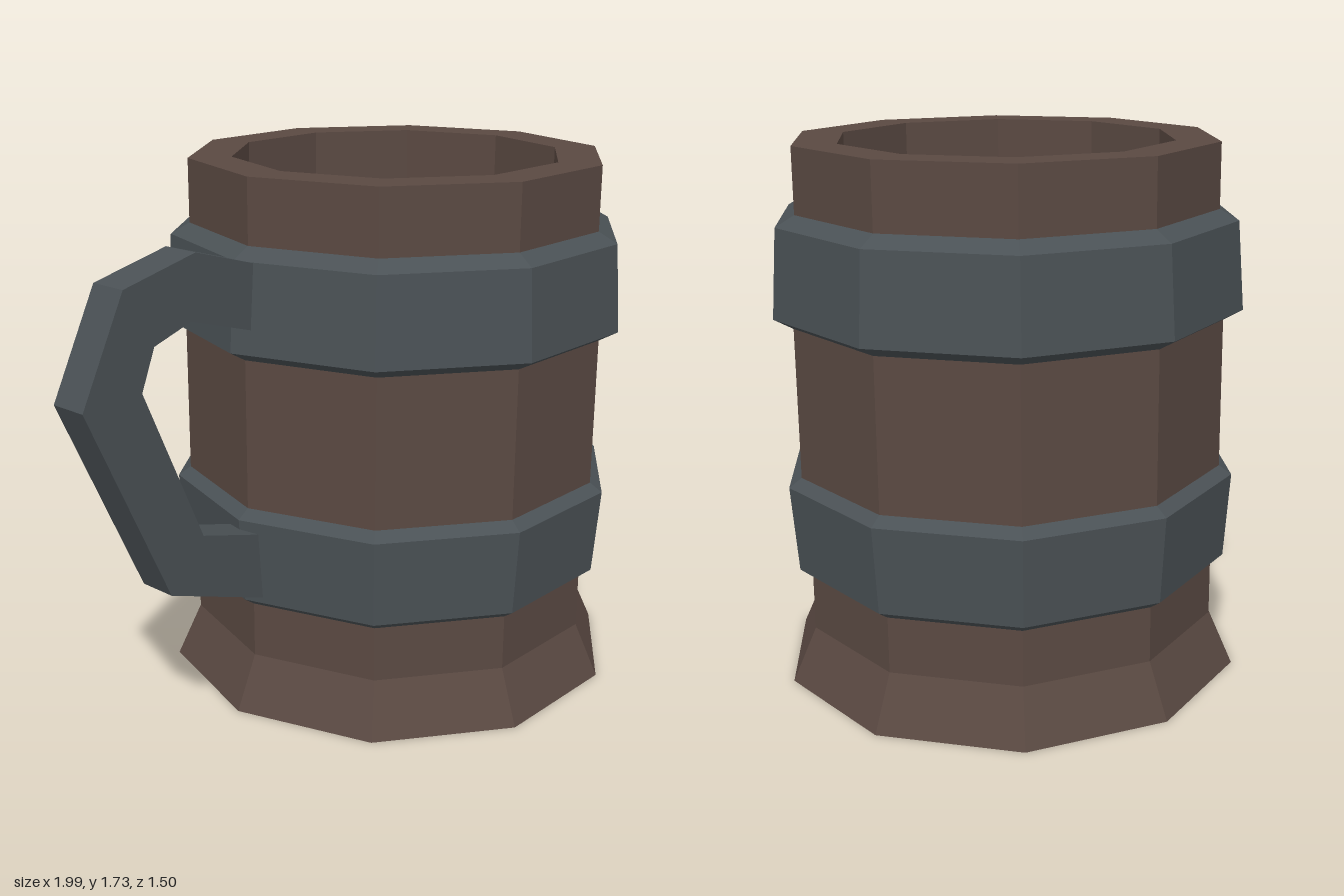
import * as THREE from 'three';

const SIDES = 10;
const CENTRE_X = 0.245;
const TURN = THREE.MathUtils.degToRad(7.7); // twist of the ten-sided body
const HANDLE_ANGLE = TURN + (4 * Math.PI * 2) / SIDES; // handle sits on a corner

const wood = new THREE.MeshStandardMaterial({ name: 'dark wood', color: 0x5a4942, flatShading: true });
const iron = new THREE.MeshStandardMaterial({ name: 'dark iron', color: 0x4a5155, flatShading: true });

// Faceted ring or solid from [radius, height] pairs, listed from the bottom up
function turned(name, profile, material) {
  const points = profile.map(([r, y]) => new THREE.Vector2(r, y));
  const geometry = new THREE.LatheGeometry(points, SIDES, Math.PI / 2 - TURN);
  const mesh = new THREE.Mesh(geometry, material);
  mesh.name = name;
  return mesh;
}

export function createModel() {
  const mug = new THREE.Group();
  mug.name = 'tankard';

  const vessel = new THREE.Group();
  vessel.name = 'vessel';
  vessel.position.x = CENTRE_X;
  mug.add(vessel);

  // Hollow wooden body with flared foot and thick rim
  vessel.add(turned('body', [
    [0, 0], [0.76, 0], [0.68, 0.175], [0.68, 0.37],
    [0.7, 0.68], [0.7, 1.19], [0.68, 1.51], [0.68, 1.73],
    [0.54, 1.73], [0.54, 0.2], [0, 0.2],
  ], wood));

  // Bevelled iron bands
  vessel.add(turned('lowerBand', [
    [0.67, 0.35], [0.72, 0.385], [0.741, 0.665], [0.69, 0.7],
  ], iron));
  vessel.add(turned('upperBand', [
    [0.69, 1.17], [0.761, 1.21], [0.741, 1.49], [0.67, 1.53],
  ], iron));

  // Angular handle, drawn as [distance from axis, height] and extruded
  const outline = [
    [0.66, 1.47], [0.66, 1.265], [0.97, 1.36], [1.11, 1.315],
    [1.16, 1.19], [0.946, 0.695], [0.66, 0.61], [0.66, 0.39],
    [1.08, 0.545], [1.37, 1.18], [1.213, 1.495], [0.946, 1.556],
  ];
  const shape = new THREE.Shape(outline.map(([s, y]) => new THREE.Vector2(s, y)));
  const width = 0.125;
  const geometry = new THREE.ExtrudeGeometry(shape, { depth: width, bevelEnabled: false });
  geometry.translate(0, 0, -width / 2);
  const handle = new THREE.Mesh(geometry, iron);
  handle.name = 'handle';
  handle.rotation.y = -HANDLE_ANGLE;
  vessel.add(handle);

  return mug;
}
